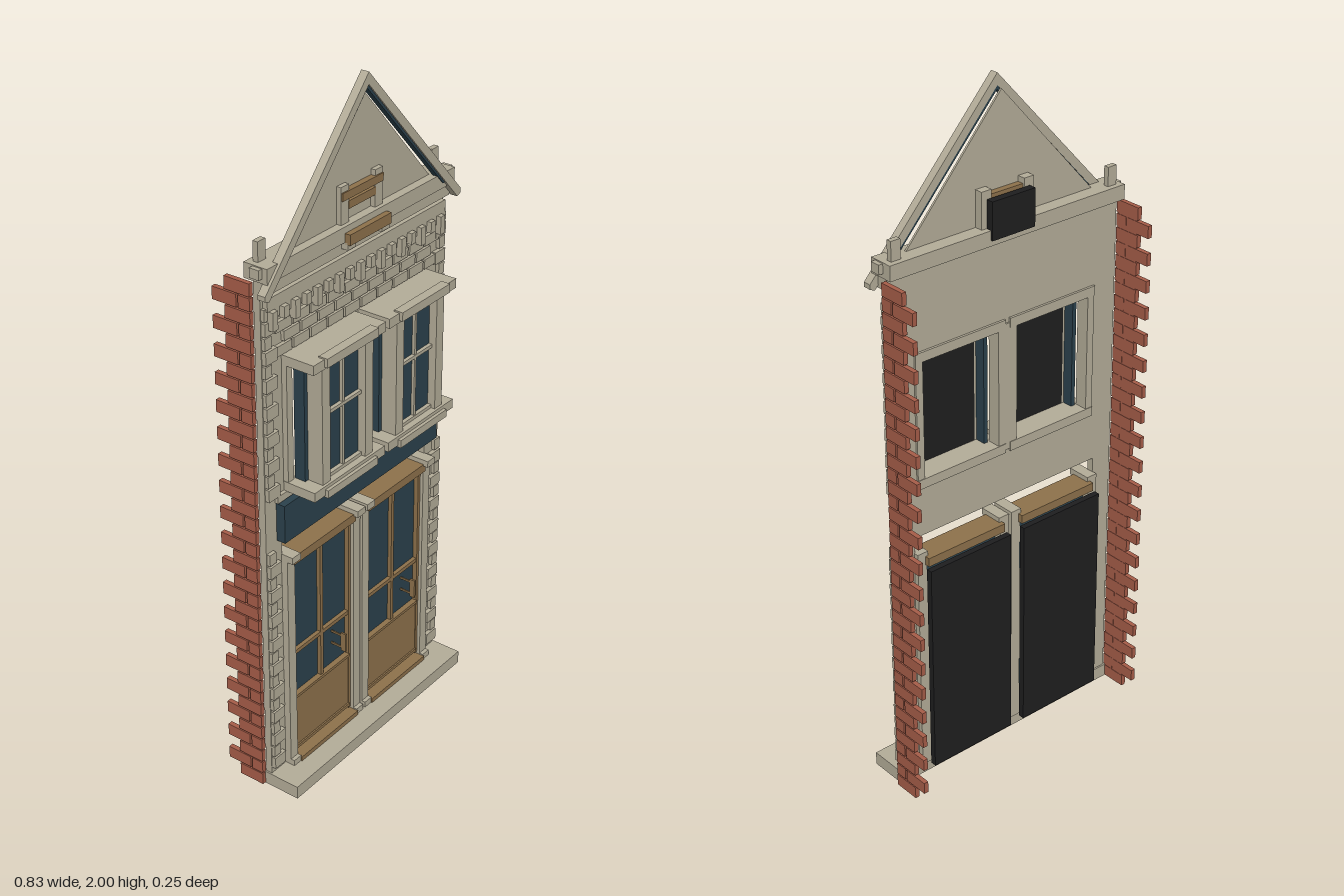
import * as THREE from 'three';

const mat = (name, color) => Object.assign(new THREE.MeshStandardMaterial({ color }), { name });

export function createModel() {
  const stone = mat('stone', 0xb3ac98);
  const brick = mat('brick', 0xa65d49);
  const navy = mat('navy', 0x2b414c);
  const wood = mat('wood', 0x8d714b);
  const black = mat('black', 0x1e1e1f);

  const model = new THREE.Group();
  model.name = 'shopfront';
  const group = (name, parent = model) => {
    const g = new THREE.Group();
    g.name = name;
    parent.add(g);
    return g;
  };
  // Box given by its limits on each axis
  const box = (name, parent, m, x0, x1, y0, y1, z0, z1) => {
    const mesh = new THREE.Mesh(new THREE.BoxGeometry(x1 - x0, y1 - y0, z1 - z0), m);
    mesh.position.set((x0 + x1) / 2, (y0 + y1) / 2, (z0 + z1) / 2);
    mesh.name = name;
    parent.add(mesh);
  };
  const mirrored = (name, parent, m, x0, x1, ...r) => {
    box(name, parent, m, x0, x1, ...r);
    box(name, parent, m, -x1, -x0, ...r);
  };
  const extrude = (name, parent, m, shape, depth, z) => {
    const mesh = new THREE.Mesh(new THREE.ExtrudeGeometry(shape, { depth, bevelEnabled: false }), m);
    mesh.position.z = z;
    mesh.name = name;
    parent.add(mesh);
  };
  const poly = (...p) => new THREE.Shape(p.map(([x, y]) => new THREE.Vector2(x, y)));

  // Plinth and main wall, open at the shop front and the upper windows
  box('plinth', model, stone, -0.395, 0.395, 0, 0.04, -0.01, 0.11);
  const wall = poly([-0.39, 0.04], [-0.325, 0.04], [-0.325, 0.79], [0.325, 0.79], [0.325, 0.04],
    [0.39, 0.04], [0.39, 1.58], [-0.39, 1.58]);
  wall.holes.push(poly([-0.312, 0.945], [-0.312, 1.325], [0.312, 1.325], [0.312, 0.945]));
  extrude('wall', model, stone, wall, 0.02, -0.005);

  // Quoins up both front corners
  const quoins = group('quoins');
  for (let i = 0; i < 18; i++) {
    const y = 0.06 + i * 0.08;
    if (y > 0.76 && y < 0.92) continue;
    mirrored('longQuoin', quoins, stone, 0.342, 0.388, y, y + 0.036, 0.01, 0.028);
    mirrored('shortQuoin', quoins, stone, 0.362, 0.388, y + 0.041, y + 0.075, 0.01, 0.026);
  }

  // Staggered stone courses over and under the windows
  const courses = group('stoneCourses');
  for (let row = 0; row < 3; row++) {
    const y = 1.345 + row * 0.034;
    for (let i = 0; i < 10; i++) {
      const x = -0.345 + i * 0.071 + (row % 2) * 0.033;
      if (x + 0.06 > 0.36) continue;
      box('course', courses, stone, x, x + 0.064, y, y + 0.028, 0.01, 0.026);
    }
  }
  for (let i = 0; i < 10; i++) {
    const x = -0.35 + i * 0.071;
    box('lowerCourse', courses, stone, x, x + 0.064, 0.917, 0.938, 0.01, 0.026);
  }

  // Corbel table under the eaves
  const corbels = group('corbels');
  box('corbelBand', corbels, stone, -0.38, 0.38, 1.487, 1.522, 0.01, 0.03);
  for (let i = 0; i < 17; i++) {
    const x = -0.375 + i * 0.0448;
    box('corbel', corbels, stone, x, x + 0.02, i % 2 ? 1.455 : 1.435, 1.487, 0.01, 0.043);
    box('corbelBlock', corbels, stone, x + 0.022, x + 0.042, 1.462, 1.487, 0.01, 0.03);
  }

  // Cornice with end blocks and small posts
  const cornice = group('cornice');
  box('corniceLower', cornice, stone, -0.39, 0.39, 1.535, 1.572, 0, 0.035);
  box('corniceUpper', cornice, stone, -0.397, 0.397, 1.572, 1.615, -0.028, 0.046);
  mirrored('corniceEnd', cornice, stone, 0.39, 0.41, 1.585, 1.612, 0, 0.03);
  mirrored('cornicePost', cornice, stone, 0.35, 0.38, 1.6, 1.67, -0.012, 0.004);

  // Gable panel and sloping copings
  const gable = group('gable');
  extrude('gablePanel', gable, stone, poly([-0.352, 1.572], [0.352, 1.572], [0, 1.963]), 0.006, 0.014);
  const chevron = (w, top, low, t) => poly([-w, low], [-w, low - t * 0.4], [-w + t * 0.45, low - t * 0.6],
    [0, top - t], [w - t * 0.45, low - t * 0.6], [w, low - t * 0.4], [w, low], [0, top]);
  extrude('coping', gable, stone, chevron(0.416, 2, 1.55, 0.033), 0.024, 0.03);
  extrude('copingUnderside', gable, navy, poly([-0.352, 1.588], [-0.34, 1.588], [0, 1.956],
    [0.34, 1.588], [0.352, 1.588], [0, 1.969]), 0.018, 0.031);

  // Gable window
  const attic = group('gableWindow');
  mirrored('atticPost', attic, stone, 0.055, 0.088, 1.6, 1.718, -0.01, 0.034);
  mirrored('atticFoot', attic, stone, 0.055, 0.088, 1.552, 1.572, 0.02, 0.056);
  box('atticHead', attic, wood, -0.086, 0.086, 1.68, 1.702, -0.005, 0.038);
  box('atticRail', attic, wood, -0.057, 0.057, 1.65, 1.672, -0.005, 0.035);
  box('atticSill', attic, wood, -0.088, 0.088, 1.567, 1.597, 0.02, 0.063);
  box('atticBacking', attic, black, -0.072, 0.072, 1.588, 1.695, -0.034, -0.012);

  // Bay windows
  for (const c of [-0.16, 0.16]) {
    const bay = group('bayWindow');
    bay.position.x = c;
    box('bayHead', bay, stone, -0.152, 0.152, 1.31, 1.338, -0.012, 0.118);
    box('bayHeadTrim', bay, stone, -0.108, 0.108, 1.316, 1.342, 0.1, 0.128);
    box('baySill', bay, stone, -0.152, 0.152, 0.937, 0.965, -0.012, 0.118);
    box('baySillTrim', bay, stone, -0.108, 0.108, 0.932, 0.955, 0.1, 0.128);
    mirrored('bayCasing', bay, stone, 0.128, 0.151, 0.96, 1.315, -0.01, 0.03);
    mirrored('bayPost', bay, stone, 0.075, 0.108, 0.96, 1.315, 0.06, 0.11);
    mirrored('baySideGlass', bay, navy, 0.108, 0.121, 0.965, 1.295, 0.028, 0.062);
    box('bayGlass', bay, navy, -0.077, 0.077, 0.965, 1.312, 0.078, 0.086);
    box('bayBacking', bay, black, -0.1, 0.1, 0.967, 1.308, 0.058, 0.066);
    box('bayMullion', bay, stone, -0.004, 0.004, 0.965, 1.312, 0.085, 0.095);
    box('bayTransom', bay, stone, -0.077, 0.077, 1.153, 1.163, 0.085, 0.097);
    box('bayBottomRail', bay, stone, -0.077, 0.077, 0.965, 0.975, 0.085, 0.098);
  }
  box('bayDivider', model, stone, -0.012, 0.012, 0.945, 1.325, -0.01, 0.02);

  // Shop sign board
  box('signBoard', model, navy, -0.345, 0.345, 0.798, 0.913, 0.012, 0.043);

  // Shop doors
  for (const c of [-0.166, 0.166]) {
    const door = group('shopDoor');
    door.position.x = c;
    mirrored('jamb', door, stone, 0.13, 0.161, 0.04, 0.725, -0.02, 0.034);
    mirrored('jambCapital', door, stone, 0.126, 0.161, 0.725, 0.745, -0.02, 0.052);
    mirrored('jambFoot', door, stone, 0.13, 0.161, 0.04, 0.058, 0.02, 0.046);
    box('doorLintel', door, wood, -0.135, 0.135, 0.705, 0.731, -0.035, 0.038);
    box('doorGlass', door, navy, -0.13, 0.13, 0.055, 0.706, 0.002, 0.01);
    mirrored('doorStile', door, wood, 0.12, 0.13, 0.06, 0.706, 0.002, 0.024);
    box('doorPanel', door, wood, -0.122, 0.122, 0.075, 0.252, 0.008, 0.022);
    box('panelTopRail', door, wood, -0.122, 0.122, 0.246, 0.255, 0.008, 0.027);
    box('panelBottomRail', door, wood, -0.122, 0.122, 0.068, 0.078, 0.008, 0.027);
    box('doorMidRail', door, wood, -0.122, 0.122, 0.393, 0.405, 0.008, 0.022);
    box('doorMullion', door, wood, -0.006, 0.006, 0.252, 0.706, 0.008, 0.022);
    box('threshold', door, wood, -0.132, 0.132, 0.04, 0.054, -0.01, 0.05);
    box('doorHandle', door, wood, 0.056, 0.062, 0.315, 0.375, 0.045, 0.062);
    for (const y of [0.322, 0.362]) box('handleStem', door, wood, 0.057, 0.061, y, y + 0.006, 0.008, 0.047);
    box('doorBacking', door, black, -0.142, 0.142, 0.045, 0.7, -0.052, -0.034);
  }

  // Toothed brick edges running back from both sides, over a recessed core
  const bricks = group('sideBricks');
  for (let i = 0; i < 39; i++) {
    const y = 0.002 + i * 0.0402;
    const rows = i % 2 ? [[-0.041, -0.004], [-0.125, -0.047]] : [[-0.085, -0.004]];
    for (const [z0, z1] of rows) mirrored('brick', bricks, brick, 0.393, 0.407, y, y + 0.036, z0, z1);
  }
  mirrored('brickCore', bricks, brick, 0.394, 0.398, 0.002, 1.565, -0.081, -0.008);
  return model;
}
